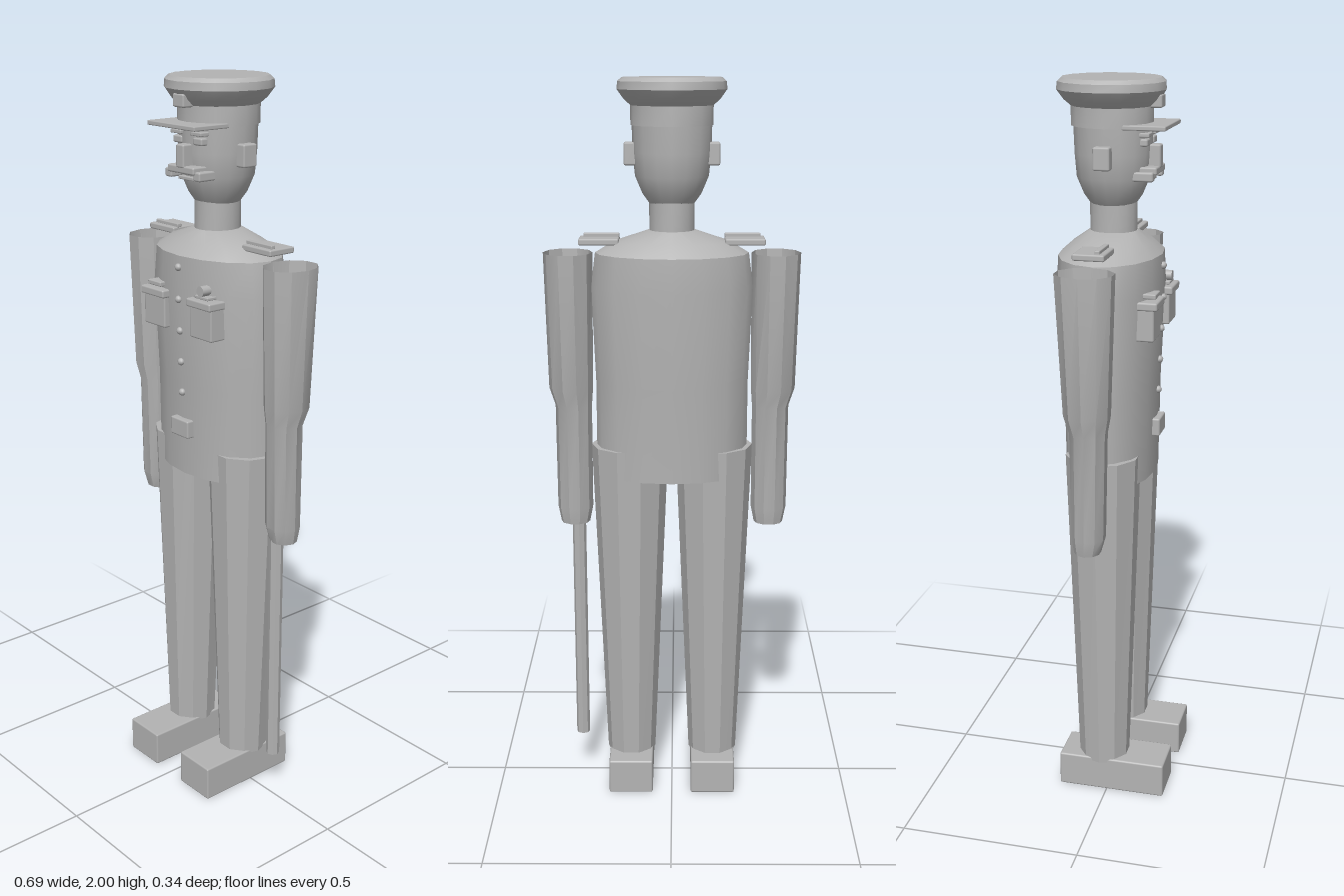
import * as THREE from 'three';
import { toCreasedNormals } from 'three/addons/utils/BufferGeometryUtils.js';
import { RoundedBoxGeometry } from 'three/addons/geometries/RoundedBoxGeometry.js';

const grey = new THREE.MeshStandardMaterial({ color: 0xb3b3b3, side: THREE.DoubleSide });
grey.name = 'grey';

export function createModel() {
  const root = new THREE.Group();
  root.name = 'officer';

  const add = (name, geometry, x = 0, y = 0, z = 0) => {
    const mesh = new THREE.Mesh(geometry, grey);
    mesh.name = name;
    mesh.position.set(x, y, z);
    root.add(mesh);
    return mesh;
  };

  // Box given by its extents on each axis
  const box = (name, [x0, x1], [y0, y1], [z0, z1]) => {
    const w = x1 - x0, h = y1 - y0, d = z1 - z0;
    const r = Math.min(0.005, Math.min(w, h, d) * 0.25);
    return add(name, new RoundedBoxGeometry(w, h, d, 1, r), (x0 + x1) / 2, (y0 + y1) / 2, (z0 + z1) / 2);
  };

  // Skin over elliptical rings [y, centreX, centreZ, radiusX, radiusZ], bottom to top
  const loft = (name, rings, sides, capTop = false) => {
    const pos = [], idx = [];
    rings.forEach(([y, cx, cz, rx, rz]) => {
      for (let i = 0; i < sides; i++) {
        const a = (i / sides) * Math.PI * 2;
        pos.push(cx + rx * Math.cos(a), y, cz + rz * Math.sin(a));
      }
    });
    for (let k = 0; k < rings.length - 1; k++) {
      for (let i = 0; i < sides; i++) {
        const j = (i + 1) % sides;
        const a = k * sides + i, b = k * sides + j, c = a + sides, d = b + sides;
        idx.push(a, c, b, b, c, d);
      }
    }
    if (capTop) {
      const [y, cx, cz] = rings[rings.length - 1];
      const start = (rings.length - 1) * sides;
      pos.push(cx, y, cz);
      for (let i = 0; i < sides; i++) idx.push(start + i, rings.length * sides, start + (i + 1) % sides);
    }
    const g = new THREE.BufferGeometry();
    g.setAttribute('position', new THREE.Float32BufferAttribute(pos, 3));
    g.setIndex(idx);
    return add(name, toCreasedNormals(g, 0.56));
  };

  const mirrorX = (s, [a, b]) => (s > 0 ? [a, b] : [-b, -a]);

  // Tunic, neck and head
  loft('tunic', [
    [0.94, 0, -0.023, 0.207, 0.121],
    [1.2, 0, -0.023, 0.207, 0.126],
    [1.46, 0, -0.025, 0.217, 0.14],
    [1.55, 0, -0.025, 0.205, 0.137],
    [1.58, 0, -0.023, 0.155, 0.105],
    [1.61, 0, -0.02, 0.06, 0.065],
  ], 16, true);
  loft('neck', [[1.59, 0, -0.02, 0.06, 0.063], [1.7, 0, -0.02, 0.06, 0.063]], 16);
  loft('head', [
    [1.68, 0, -0.02, 0.06, 0.06],
    [1.705, 0, -0.02, 0.078, 0.078],
    [1.75, 0, -0.02, 0.097, 0.097],
    [1.81, 0, -0.02, 0.103, 0.102],
    [1.89, 0, -0.02, 0.105, 0.105],
  ], 16);

  // Peaked cap
  loft('cap', [
    [1.88, 0, -0.023, 0.108, 0.108],
    [1.93, 0, -0.023, 0.108, 0.108],
    [1.945, 0, -0.024, 0.125, 0.125],
    [1.97, 0, -0.025, 0.143, 0.143],
    [1.99, 0, -0.025, 0.141, 0.141],
    [2.0, 0, -0.025, 0.13, 0.13],
  ], 16, true);
  box('capPeak', [-0.095, 0.095], [1.877, 1.889], [0, 0.137]);
  box('capBadge', [-0.022, 0.022], [1.926, 1.96], [0.07, 0.112]);

  // Face
  box('nose', [-0.016, 0.016], [1.775, 1.835], [0.06, 0.108]);
  box('moustache', [-0.053, 0.053], [1.761, 1.781], [0.04, 0.106]);
  box('mouth', [-0.03, 0.03], [1.743, 1.752], [0.05, 0.088]);

  for (const s of [1, -1]) {
    const side = s > 0 ? 'left' : 'right';
    const pair = (name, x, y, z) => box(side + name, mirrorX(s, x), y, z);

    pair('Eye', [0.022, 0.058], [1.833, 1.852], [0.04, 0.083]);
    pair('Eyebrow', [0.018, 0.062], [1.857, 1.867], [0.04, 0.088]);
    pair('MoustacheTip', [0.044, 0.07], [1.746, 1.77], [0.03, 0.1]);
    pair('Ear', [0.09, 0.126], [1.778, 1.837], [-0.045, 0]);

    // Shoulder boards with a raised bar
    pair('ShoulderBoard', [0.14, 0.247], [1.573, 1.59], [-0.067, 0.017]);
    pair('ShoulderBar', [0.14, 0.236], [1.588, 1.599], [-0.011, 0.003]);

    // Breast pockets
    pair('Pocket', [0.052, 0.14], [1.345, 1.44], [0.06, 0.121]);
    pair('PocketFlap', [0.047, 0.144], [1.428, 1.45], [0.06, 0.13]);

    // Hollow sleeve and hand
    loft(side + 'Arm', [
      [0.795, s * 0.27, -0.025, 0.04, 0.036],
      [0.84, s * 0.27, -0.022, 0.049, 0.046],
      [1.13, s * 0.27, -0.02, 0.05, 0.05],
      [1.18, s * 0.276, -0.022, 0.06, 0.062],
      [1.55, s * 0.278, -0.025, 0.066, 0.078],
    ], 10);

    // Trouser leg and shoe
    loft(side + 'Leg', [
      [0.09, s * 0.118, -0.02, 0.069, 0.072],
      [1.02, s * 0.116, -0.021, 0.106, 0.102],
    ], 10, true);
    pair('Shoe', [0.055, 0.18], [0, 0.1], [-0.14, 0.167]);
  }

  // Decorations above the pockets
  box('ribbonBar', [-0.122, -0.068], [1.455, 1.468], [0.07, 0.122]);
  box('medalBar', [0.07, 0.122], [1.452, 1.46], [0.07, 0.118]);
  const medal = add('medal', new THREE.CylinderGeometry(0.014, 0.014, 0.04, 12), 0.095, 1.473, 0.1);
  medal.rotation.x = Math.PI / 2;

  // Tunic buttons and buckle
  for (let i = 0; i < 5; i++) {
    const y = 1.52 - i * 0.086;
    add('button', new THREE.SphereGeometry(0.01, 10, 8), 0, y, i < 2 ? 0.114 : 0.116 - i * 0.003);
  }
  box('buckle', [-0.037, 0.037], [1.052, 1.102], [0.08, 0.117]);

  // Stick held below the left hand
  loft('stick', [[0.13, 0.262, -0.008, 0.019, 0.019], [0.85, 0.262, -0.008, 0.019, 0.019]], 8);

  return root;
}
